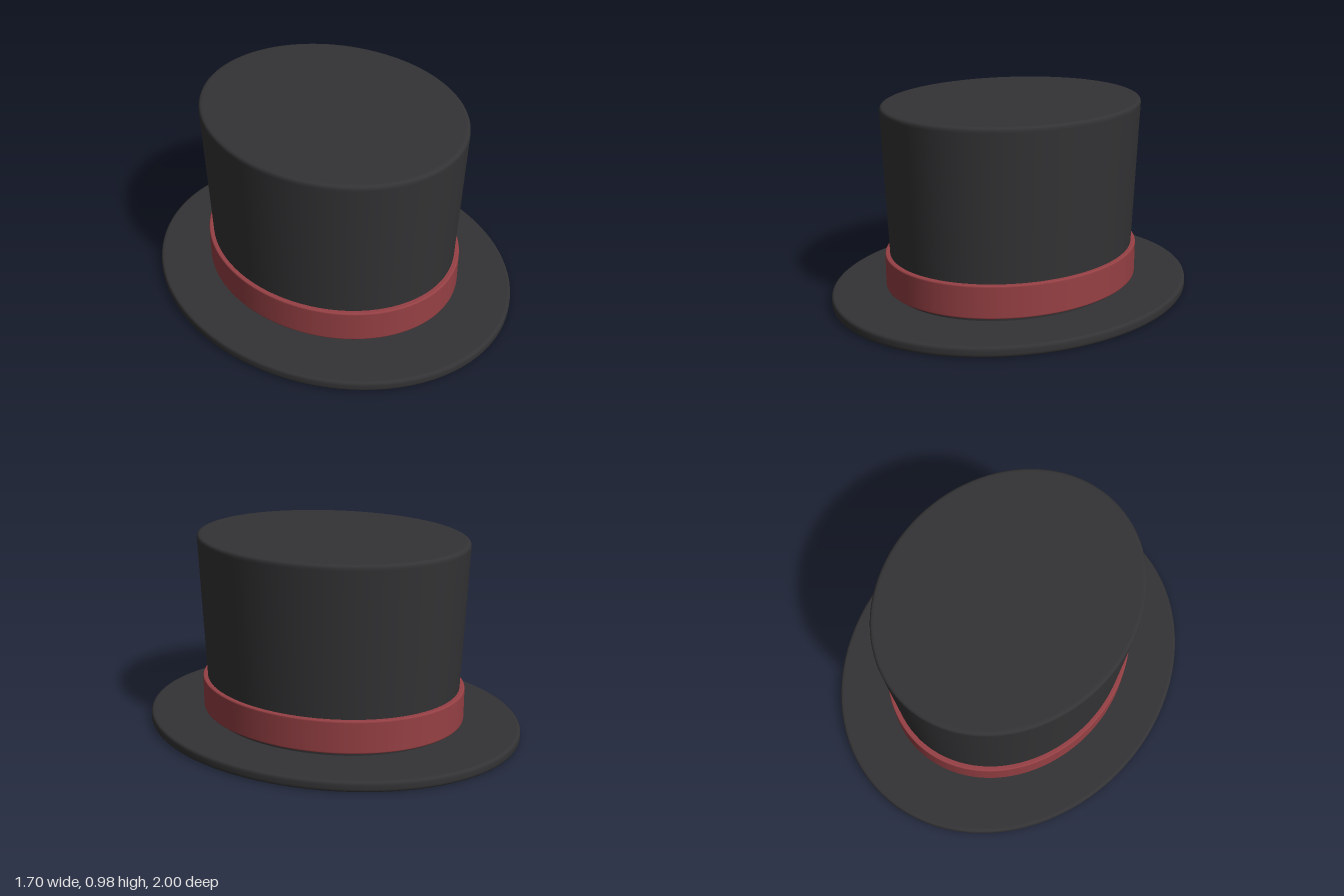
import * as THREE from 'three';

const OVAL = 0.848; // width of the head oval relative to its length

// Turn a profile of [radius, y, rounding] corners (bottom to top) into an oval part.
function ovalPart(name, corners, color) {
  const points = [];
  corners.forEach(([r, y, round = 0], i) => {
    const corner = new THREE.Vector2(r, y);
    if (!round) return points.push(corner);
    const toward = ([tr, ty], d) => {
      const dir = new THREE.Vector2(tr, ty).sub(corner).normalize();
      return corner.clone().addScaledVector(dir, d);
    };
    const before = corners[i - 1], after = corners[i + 1];
    const start = toward(before, round), end = toward(after, round);
    const curve = new THREE.QuadraticBezierCurve(start, corner, end);
    // Support rings beside the rounding keep the flat faces evenly shaded.
    points.push(toward(before, round * 1.15), ...curve.getPoints(5), toward(after, round * 1.15));
  });
  const geometry = new THREE.LatheGeometry(points, 96);
  geometry.scale(OVAL, 1, 1);
  const mesh = new THREE.Mesh(geometry, new THREE.MeshStandardMaterial({ color }));
  mesh.name = name;
  return mesh;
}

export function createModel() {
  const hat = new THREE.Group();
  hat.name = 'topHat';

  const felt = 0x333335, ribbon = 0x964044;

  // Flat oval brim with a rounded edge
  hat.add(ovalPart('brim', [
    [0, 0], [1, 0, 0.018], [1, 0.052, 0.018], [0, 0.052],
  ], felt));

  // Crown flaring slightly towards the flat top
  hat.add(ovalPart('crown', [
    [0, 0.04], [0.67, 0.04, 0.005], [0.717, 0.98, 0.022], [0, 0.98],
  ], felt));

  // Ribbon standing just proud of the crown
  hat.add(ovalPart('band', [
    [0.66, 0.072], [0.705, 0.072, 0.008], [0.706, 0.236, 0.008], [0.66, 0.236],
  ], ribbon));

  return hat;
}
